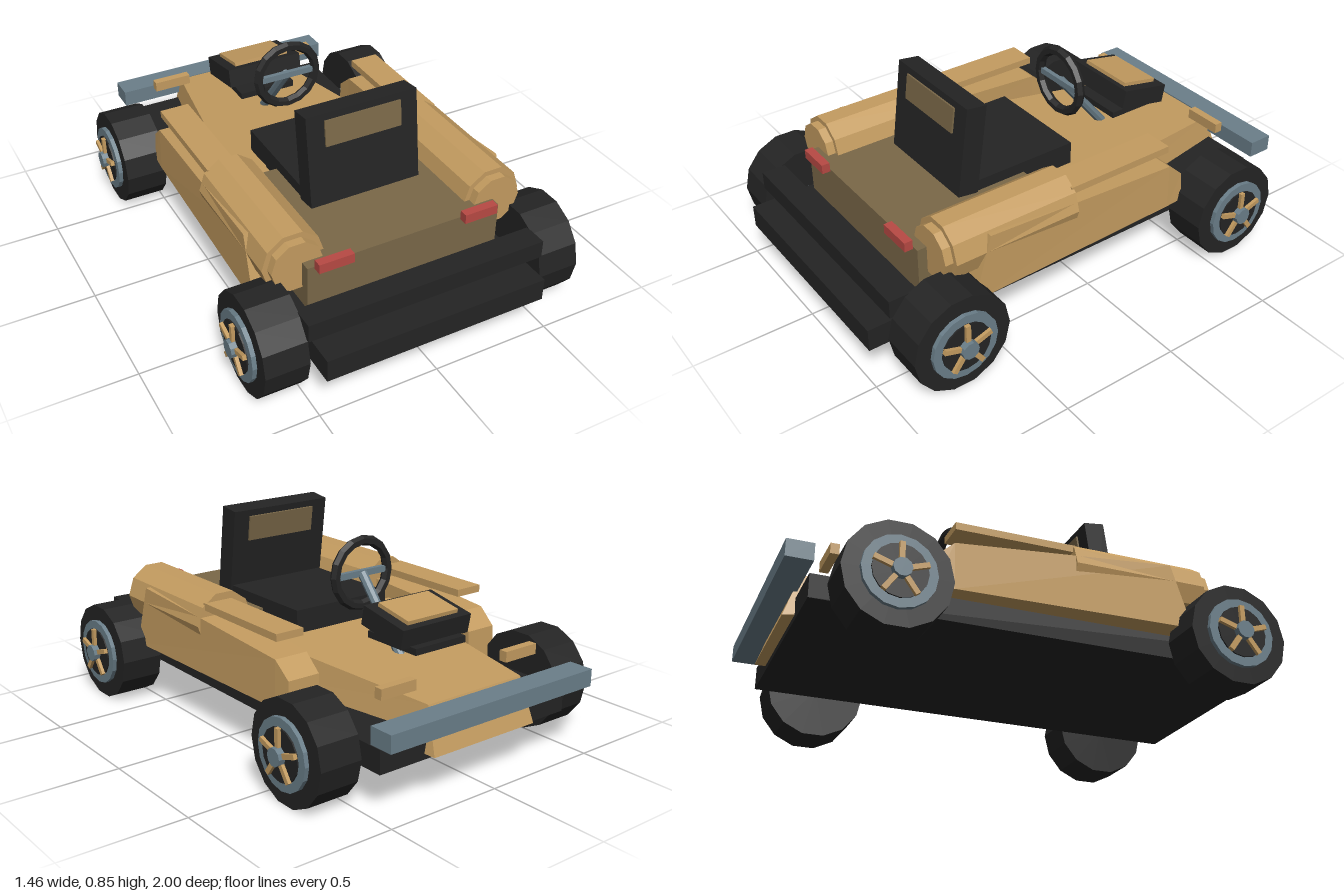
import * as THREE from 'three';

const mat = (name, color) => {
  const m = new THREE.MeshStandardMaterial({ color, flatShading: true });
  m.name = name;
  return m;
};

export function createModel() {
  const tan = mat('tan paint', 0xc49c60);
  const brown = mat('brown trim', 0x7a6848);
  const black = mat('black rubber', 0x242424);
  const steel = mat('blue grey steel', 0x6b7f8a);
  const red = mat('red lamp', 0xb84a44);

  const kart = new THREE.Group();
  kart.name = 'kart';

  const add = (name, geo, material, parent = kart) => {
    const mesh = new THREE.Mesh(geo, material);
    mesh.name = name;
    parent.add(mesh);
    return mesh;
  };

  // Box given by its limits on each axis
  const box = (name, m, [x0, x1], [y0, y1], [z0, z1], parent) => {
    const mesh = add(name, new THREE.BoxGeometry(x1 - x0, y1 - y0, z1 - z0), m, parent);
    mesh.position.set((x0 + x1) / 2, (y0 + y1) / 2, (z0 + z1) / 2);
    return mesh;
  };
  const sided = (s, a, b) => (s > 0 ? [a, b] : [-b, -a]);

  // Closed skin over four-cornered rings running from +z to -z
  const loft = (rings) => {
    const pos = [];
    const quad = (a, b, c, d) => [a, b, c, a, c, d].forEach((p) => pos.push(...p));
    for (let k = 0; k < rings.length - 1; k++) {
      const a = rings[k], b = rings[k + 1];
      for (let i = 0; i < 4; i++) {
        const j = (i + 1) % 4;
        quad(a[i], b[i], b[j], a[j]);
      }
    }
    quad(...rings[0]);
    quad(...rings[rings.length - 1].slice().reverse());
    const geo = new THREE.BufferGeometry();
    geo.setAttribute('position', new THREE.Float32BufferAttribute(pos, 3));
    geo.computeVertexNormals();
    return geo;
  };

  // Chassis and bumpers
  box('floor', black, [-0.47, 0.47], [0.16, 0.255], [-0.9, 1]);
  box('rearBumper', black, [-0.505, 0.505], [0.3, 0.375], [0.825, 0.925]);
  box('frontBumper', steel, [-0.51, 0.51], [0.285, 0.355], [-1, -0.895]);
  box('rearDeck', brown, [-0.415, 0.415], [0.275, 0.465], [0.13, 0.745]);

  // Tapered nose with sloping ends
  const noseRing = (zb, zt, xb, xt, yb, yt) =>
    [[-xb, yb, zb], [xb, yb, zb], [xt, yt, zt], [-xt, yt, zt]];
  add('nose', loft([
    noseRing(0.08, 0.03, 0.42, 0.385, 0.25, 0.42),
    noseRing(-0.945, -0.885, 0.255, 0.235, 0.18, 0.358),
  ]), tan);

  // Side pods, roll cylinders, arm bars, lamps and nose blocks
  for (const s of [1, -1]) {
    const podRing = (zb, zt, xi, xo, yt) => {
      const r = [[xi, 0.257, zb], [xo, 0.257, zb], [xo - 0.005, yt, zt], [xi, yt, zt]]
        .map(([x, y, z]) => [s * x, y, z]);
      return s > 0 ? r : r.reverse();
    };
    add('sidePod', loft([
      podRing(0.6, 0.52, 0.36, 0.565, 0.52),
      podRing(-0.38, -0.38, 0.39, 0.54, 0.45),
      podRing(-0.46, -0.455, 0.39, 0.535, 0.385),
    ]), tan);

    for (const [name, r, z0, z1] of [['podCylinder', 0.128, 0.11, 0.67], ['podEndCap', 0.106, 0.67, 0.705]]) {
      const geo = new THREE.CylinderGeometry(r, r, z1 - z0, 10);
      geo.rotateY(Math.PI / 10).rotateX(Math.PI / 2).rotateZ(Math.PI / 10);
      // a vertex lies on the x axis so that the top is flat
      const p = geo.attributes.position;
      let flat = false;
      for (let i = 0; i < p.count; i++) if (Math.abs(p.getX(i) - r) < 1e-4) flat = true;
      if (!flat) geo.rotateZ(Math.PI / 10);
      add(name, geo, tan).position.set(s * 0.433, 0.453, (z0 + z1) / 2);
    }
    box('armBar', tan, sided(s, 0.4, 0.525), [0.515, 0.545], [-0.375, 0.12]);
    box('tailLamp', red, sided(s, 0.24, 0.385), [0.455, 0.495], [0.745, 0.78]);
    box('noseBlock', tan, sided(s, 0.23, 0.395), [0.39, 0.433], [-0.815, -0.78]);
  }

  // Seat with a slightly tilted back
  box('seatCushion', black, [-0.232, 0.232], [0.415, 0.512], [-0.11, 0.4]);
  const back = new THREE.Group();
  back.name = 'seatBack';
  back.position.set(0, 0.658, 0.378);
  back.rotation.x = -0.13;
  kart.add(back);
  box('backrest', black, [-0.24, 0.24], [-0.19, 0.19], [-0.045, 0.045], back);
  box('backrestPanel', brown, [-0.165, 0.165], [0.055, 0.162], [-0.053, 0.053], back);

  // Steering wheel, crossbar and column
  add('steeringWheel', new THREE.TorusGeometry(0.134, 0.021, 6, 16), black).position.set(0, 0.656, -0.23);
  box('steeringCrossbar', steel, [-0.125, 0.125], [0.643, 0.669], [-0.24, -0.22]);
  const top = new THREE.Vector3(0, 0.656, -0.235), foot = new THREE.Vector3(0, 0.37, -0.475);
  const column = add('steeringColumn', new THREE.CylinderGeometry(0.02, 0.02, top.distanceTo(foot), 8), steel);
  column.position.copy(top).add(foot).multiplyScalar(0.5);
  column.quaternion.setFromUnitVectors(new THREE.Vector3(0, 1, 0), top.clone().sub(foot).normalize());

  // Tilted box on the nose with its base plate
  box('podiumPlate', black, [-0.127, 0.127], [0.463, 0.49], [-0.697, -0.425]);
  const podium = new THREE.Group();
  podium.name = 'noseBox';
  podium.position.set(0, 0.546, -0.557);
  podium.rotation.x = -0.19;
  kart.add(podium);
  box('noseBoxCase', black, [-0.172, 0.172], [-0.04, 0.04], [-0.115, 0.115], podium);
  box('noseBoxLid', tan, [-0.127, 0.127], [0.04, 0.056], [-0.086, 0.086], podium);

  // Wheels: tyre, rim, dark disc, five spokes and hub, facing +x before mirroring
  const disc = (name, m, r, x0, x1, sides, parent) => {
    const geo = new THREE.CylinderGeometry(r, r, x1 - x0, sides).rotateX(Math.PI / 2);
    geo.rotateZ(Math.PI / 2).rotateY(Math.PI / 2).rotateZ(0);
    add(name, geo, m, parent).position.x = (x0 + x1) / 2;
  };
  for (const z of [0.73, -0.635]) {
    const axle = new THREE.CylinderGeometry(0.027, 0.027, 1.1, 8).rotateZ(Math.PI / 2);
    add('axle', axle, steel).position.set(0, 0.206, z);
    for (const s of [1, -1]) {
      const wheel = new THREE.Group();
      wheel.name = z > 0 ? 'rearWheel' : 'frontWheel';
      wheel.position.set(0, 0.206, z);
      wheel.rotation.y = s > 0 ? 0 : Math.PI;
      kart.add(wheel);
      disc('tyre', black, 0.206, 0.502, 0.68, 14, wheel);
      disc('rim', steel, 0.14, 0.68, 0.698, 16, wheel);
      disc('rimCentre', black, 0.104, 0.69, 0.704, 16, wheel);
      disc('hub', steel, 0.036, 0.69, 0.732, 10, wheel);
      for (let i = 0; i < 5; i++) {
        const spoke = new THREE.BoxGeometry(0.016, 0.085, 0.02).translate(0.71, 0.063, 0);
        add('spoke', spoke.rotateX((i * Math.PI * 2) / 5), tan, wheel);
      }
    }
  }
  return kart;
}
